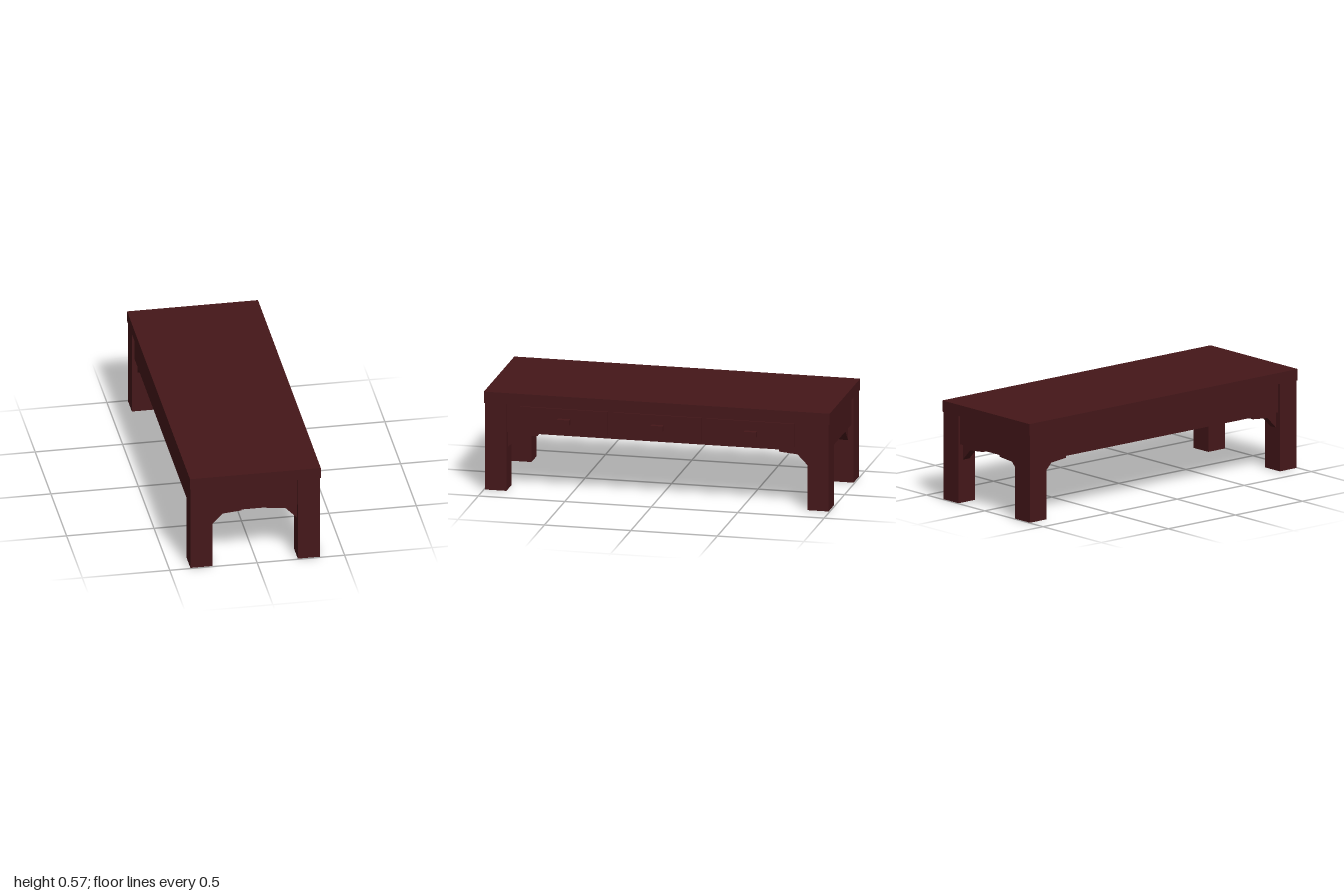
import * as THREE from 'three';

export function createModel() {
  const table = new THREE.Group();
  table.name = 'lowTable';
  const wood = new THREE.MeshStandardMaterial({ color: 0x451719 });

  // All parts sit on a body centred slightly off x = 0, since the handles stick out on one side
  const body = new THREE.Group();
  body.name = 'body';
  body.position.x = -0.01;
  table.add(body);

  const box = (name, w, h, d, x, y, z) => {
    const mesh = new THREE.Mesh(new THREE.BoxGeometry(w, h, d), wood);
    mesh.name = name;
    mesh.position.set(x, y, z);
    body.add(mesh);
    return mesh;
  };

  const legW = 0.127, legD = 0.123, legH = 0.508;
  const outX = 0.3705, outZ = 0.993;       // outer faces of the legs
  const inX = outX - legW, inZ = outZ - legD;
  const apronY = 0.34;

  // Table top and the recessed case beneath it
  box('tableTop', 0.748, 0.065, 2, 0, 0.5405, 0);
  box('apron', 2 * (outX - 0.014), legH - apronY, 2 * (outZ - 0.012), 0, (legH + apronY) / 2, 0);

  // Corner bracket profile: runs away from the leg along +x, hangs below the apron
  const bracketShape = new THREE.Shape([
    [0, 0.247], [0.064, 0.313], [0.172, 0.323], [0.172, apronY], [0, apronY],
  ].map(([x, y]) => new THREE.Vector2(x, y)));
  const thick = 0.05, inset = 0.032;
  const bracketGeo = new THREE.ExtrudeGeometry(bracketShape, { depth: thick, bevelEnabled: false });
  bracketGeo.translate(0, 0, -thick / 2);

  const bracket = (x, z, turn) => {
    const mesh = new THREE.Mesh(bracketGeo, wood);
    mesh.name = 'cornerBracket';
    mesh.position.set(x, 0, z);
    mesh.rotation.y = turn;
    body.add(mesh);
  };

  // Four legs, each with one bracket across and one along the table
  for (const sx of [-1, 1]) {
    for (const sz of [-1, 1]) {
      box('leg', legW, legH, legD, sx * (outX - legW / 2), legH / 2, sz * (outZ - legD / 2));
      bracket(sx * inX, sz * (outZ - inset - thick / 2), sx > 0 ? Math.PI : 0);
      bracket(sx * (outX - inset - thick / 2), sz * inZ, sz * Math.PI / 2);
    }
  }

  // Three drawers with block handles on the left side
  for (const i of [-1, 0, 1]) {
    const z = i * 0.54;
    box('drawerFront', 0.03, 0.137, 0.508, outX - 0.019, 0.4285, z);
    box('drawerHandle', 0.034, 0.031, 0.07, 0.377, 0.426, z - 0.003);
  }

  return table;
}
